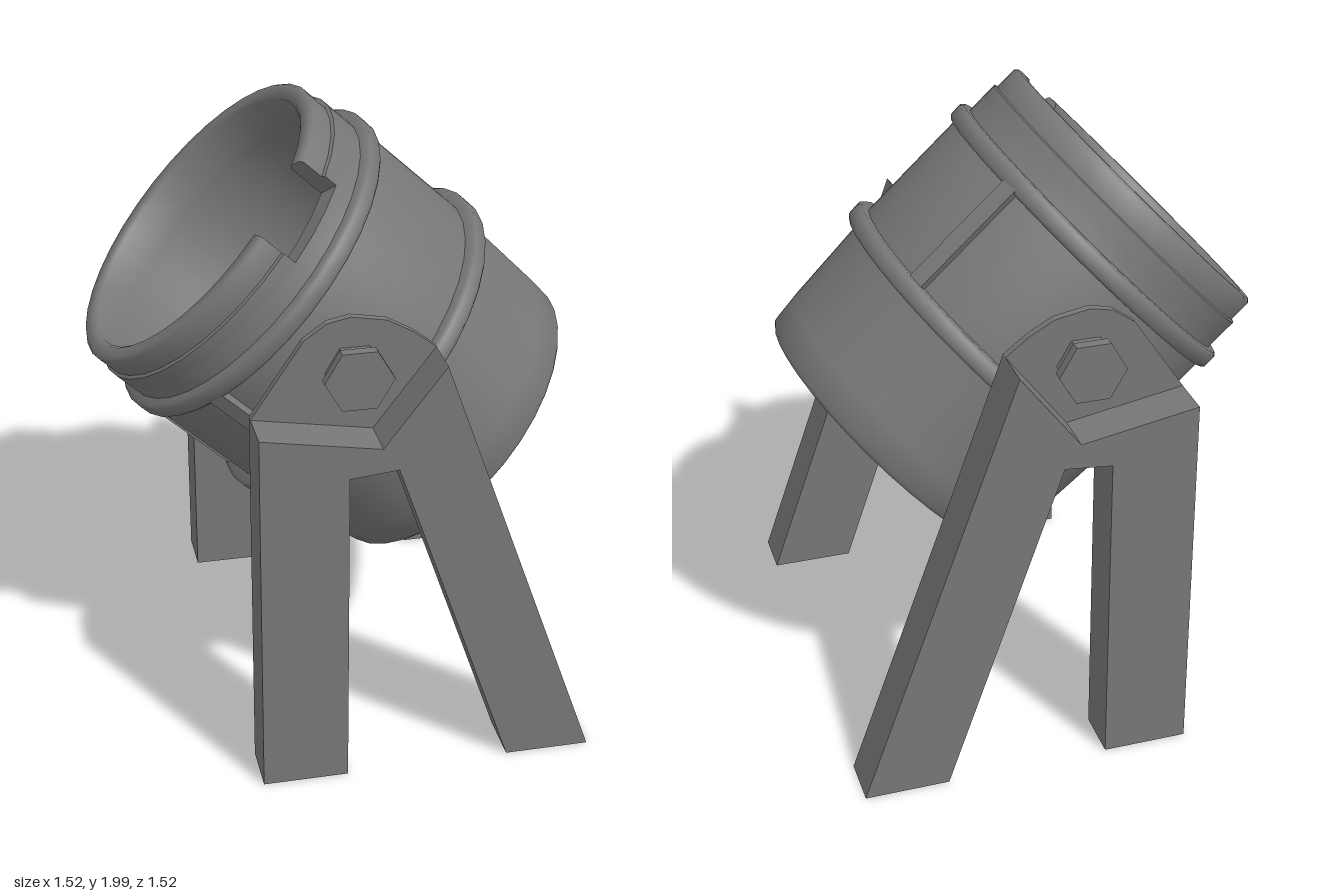
import * as THREE from 'three';
import { toCreasedNormals } from 'three/addons/utils/BufferGeometryUtils.js';

const material = new THREE.MeshStandardMaterial({ color: 0x777777 });
const capMaterial = new THREE.MeshStandardMaterial({ color: 0x777777, side: THREE.DoubleSide });
const rad = THREE.MathUtils.degToRad;
const vectors = (pts) => pts.map(([x, y]) => new THREE.Vector2(x, y));

function part(name, geometry, parent, mat = material) {
  const mesh = new THREE.Mesh(geometry, mat);
  mesh.name = name;
  parent.add(mesh);
  return mesh;
}

// angles run from +z towards +x, one segment every 10 degrees
function lathe(pts, from = 0, sweep = 360) {
  const g = new THREE.LatheGeometry(vectors(pts), sweep / 10, rad(from), rad(sweep));
  return toCreasedNormals(g, rad(60));
}

function slab(pts, z, depth) {
  const g = new THREE.ExtrudeGeometry(new THREE.Shape(vectors(pts)), { depth, bevelEnabled: false });
  return g.translate(0, 0, z);
}

function hexagon(radius, z0, z1) {
  const g = new THREE.CylinderGeometry(radius, radius, z1 - z0, 6);
  g.rotateY(Math.PI / 2).rotateX(Math.PI / 2);
  return toCreasedNormals(g.translate(-0.037, 1.35, (z0 + z1) / 2), rad(30));
}

function createPot() {
  const pot = new THREE.Group();
  pot.name = 'pot';

  // hollow vessel up to the foot of the pouring notch
  part('vessel', lathe([
    [0, -0.562], [0.505, -0.562], [0.518, -0.548], [0.527, -0.45], [0.542, -0.14],
    [0.548, -0.09], [0.548, 0.31], [0.537, 0.37], [0.537, 0.43],
    [0.468, 0.43], [0.45, -0.42], [0.42, -0.48], [0, -0.48],
  ]), pot);

  // rim, left open at the notch
  const rim = [
    [0.537, 0.43], [0.537, 0.476], [0.526, 0.48], [0.526, 0.553],
    [0.516, 0.563], [0.48, 0.563], [0.468, 0.552], [0.468, 0.43],
  ];
  const notchStart = 20, notchEnd = 50;
  part('rim', lathe(rim, notchEnd, 360 - (notchEnd - notchStart)), pot);
  for (const angle of [notchStart, notchEnd]) {
    const cap = part('notchEdge', new THREE.ShapeGeometry(new THREE.Shape(vectors(rim))), pot, capMaterial);
    cap.rotation.y = rad(angle - 90);
  }

  // two bands round the vessel
  for (const [y, r] of [[0.336, 0.572], [-0.114, 0.586]]) {
    part('band', lathe([
      [0.52, y - 0.032], [r - 0.01, y - 0.03], [r, y - 0.02],
      [r, y + 0.02], [r - 0.01, y + 0.03], [0.52, y + 0.032],
    ]), pot);
  }

  // ribs joining the bands
  for (const angle of [122, -31, -90]) {
    const rib = part('rib', new THREE.BoxGeometry(0.055, 0.42, 0.06), pot);
    rib.position.set(0.54 * Math.sin(rad(angle)), 0.11, 0.54 * Math.cos(rad(angle)));
    rib.rotation.y = rad(angle);
  }

  pot.position.set(0.002, 1.233, 0);
  pot.rotation.z = rad(47.2);
  return pot;
}

function createStand(name) {
  const stand = new THREE.Group();
  stand.name = name;

  // one upright and one slanting leg
  part('legs', slab([
    [-0.35, 0], [-0.08, 0], [-0.08, 1.065], [0.07, 1.08], [0.44, 0],
    [0.71, 0], [0.21, 1.405], [0.02, 1.155], [-0.35, 1.22],
  ], 0.595, 0.163), stand);

  // thin plate carrying the pivot
  part('pivotPlate', slab([
    [-0.35, 1.22], [0.02, 1.155], [0.21, 1.405], [0.14, 1.46], [0.06, 1.505],
    [-0.05, 1.525], [-0.12, 1.51], [-0.19, 1.46],
  ], 0.595, 0.025), stand);

  part('pivotShaft', hexagon(0.09, 0.48, 0.66), stand);
  part('pivotHead', hexagon(0.106, 0.66, 0.694), stand);
  return stand;
}

export function createModel() {
  const model = new THREE.Group();
  model.name = 'tiltingPot';
  model.add(createPot());
  const front = createStand('frontStand');
  const back = createStand('backStand');
  back.scale.z = -1;
  model.add(front, back);
  return model;
}
